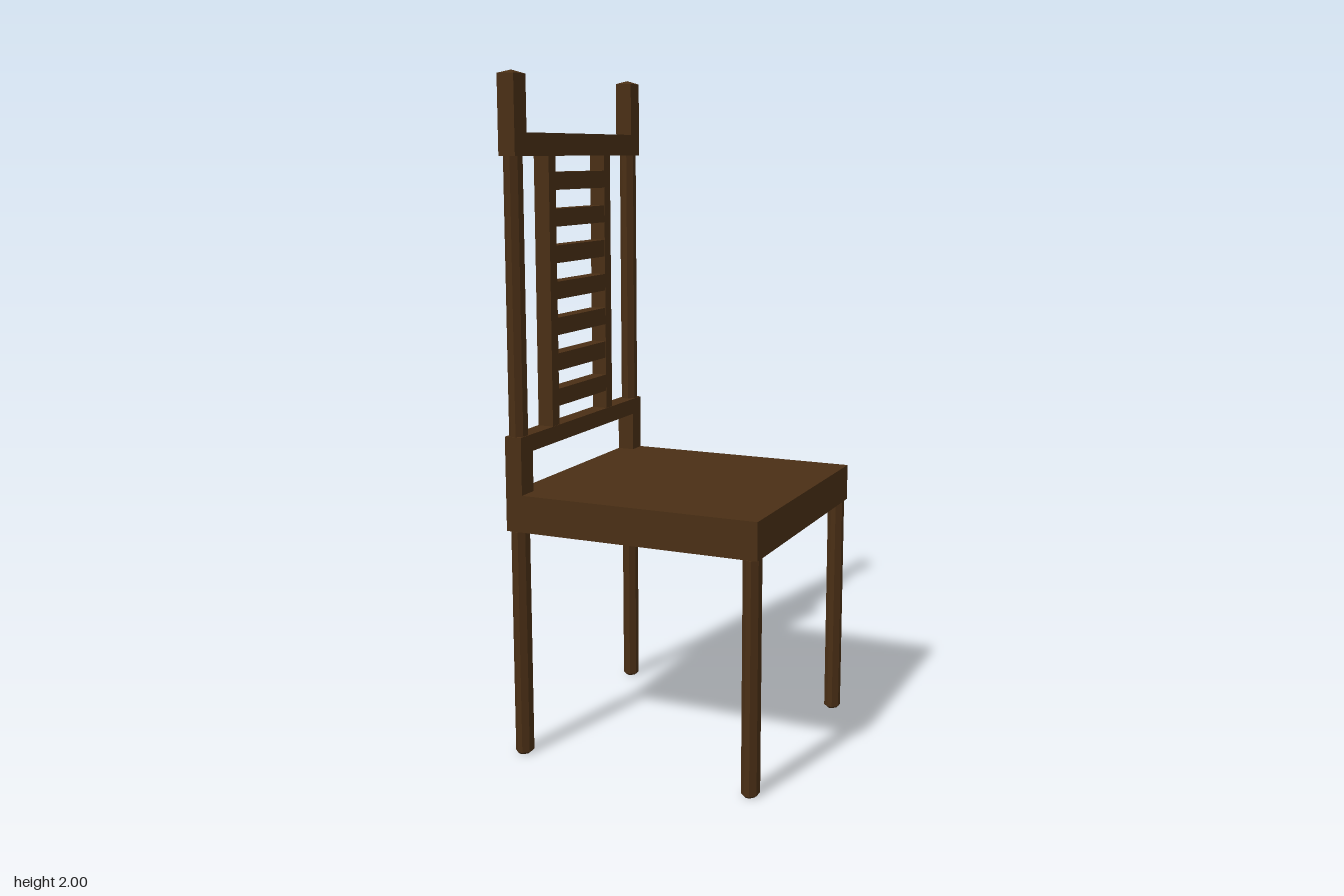
import * as THREE from 'three';

const wood = new THREE.MeshStandardMaterial({ color: 0x4a2f15, flatShading: true });

export function createModel() {
  const chair = new THREE.Group();
  chair.name = 'chair';

  function add(name, geometry) {
    const mesh = new THREE.Mesh(geometry, wood);
    mesh.name = name;
    chair.add(mesh);
  }

  // Box given by its limits on each axis
  function box(name, [x0, x1], [y0, y1], [z0, z1]) {
    const g = new THREE.BoxGeometry(x1 - x0, y1 - y0, z1 - z0);
    add(name, g.translate((x0 + x1) / 2, (y0 + y1) / 2, (z0 + z1) / 2));
  }

  // Upright bar with chamfered edges and ends, given by its limits
  function chamferedBar(name, [x0, x1], [y0, y1], [z0, z1]) {
    const c = 0.012, b = 0.007;
    const w = (x1 - x0) / 2 - b, d = (z1 - z0) / 2 - b;
    const corners = [
      [w, -d + c], [w, d - c], [w - c, d], [-w + c, d],
      [-w, d - c], [-w, -d + c], [-w + c, -d], [w - c, -d],
    ].map(([x, y]) => new THREE.Vector2(x, y));
    const g = new THREE.ExtrudeGeometry(new THREE.Shape(corners), {
      depth: y1 - y0 - 2 * b, bevelEnabled: true, bevelThickness: b, bevelSize: b, bevelSegments: 1,
    });
    g.rotateX(-Math.PI / 2);
    add(name, g.translate((x0 + x1) / 2, y0 + b, (z0 + z1) / 2));
  }

  const backX = [-0.391, -0.338];
  const inset = ([a, b]) => [a + 0.003, b - 0.003];
  const sides = [['left', [0.325, 0.391]], ['right', [-0.391, -0.333]]];

  // Seat slab
  box('seat', [-0.391, 0.391], [0.69, 0.8], [-0.391, 0.391]);

  for (const [side, z] of sides) {
    const zi = inset(z);
    // Four legs
    chamferedBar(side + 'FrontLeg', [0.341, 0.388], [0, 0.695], zi);
    chamferedBar(side + 'BackLeg', inset(backX), [0, 0.695], zi);

    // Back posts: square blocks joined by a chamfered shaft
    box(side + 'LowerPostBlock', backX, [0.79, 0.97], z);
    chamferedBar(side + 'PostShaft', inset(backX), [0.96, 1.775], zi);
    box(side + 'UpperPostBlock', backX, [1.765, 1.99], z);

    // Shallow pyramid cap
    const cap = new THREE.ConeGeometry(Math.SQRT1_2, 0.01, 4).rotateY(Math.PI / 4);
    cap.scale(backX[1] - backX[0], 1, z[1] - z[0]);
    add(side + 'PostCap', cap.translate((backX[0] + backX[1]) / 2, 1.995, (z[0] + z[1]) / 2));
  }

  // Cross rails
  box('lowerRail', backX, [0.92, 0.97], [-0.335, 0.327]);
  box('upperRail', backX, [1.765, 1.83], [-0.335, 0.327]);

  // Central ladder: two stiles and seven slats
  const stileX = [-0.389, -0.34];
  box('leftStile', stileX, [0.965, 1.77], [0.16, 0.2]);
  box('rightStile', stileX, [0.965, 1.77], [-0.187, -0.147]);
  for (let i = 0; i < 7; i++) {
    const y = 1.026 + i * 0.1068;
    box('slat' + (i + 1), [-0.388, -0.341], [y, y + 0.052], [-0.15, 0.163]);
  }

  return chair;
}
